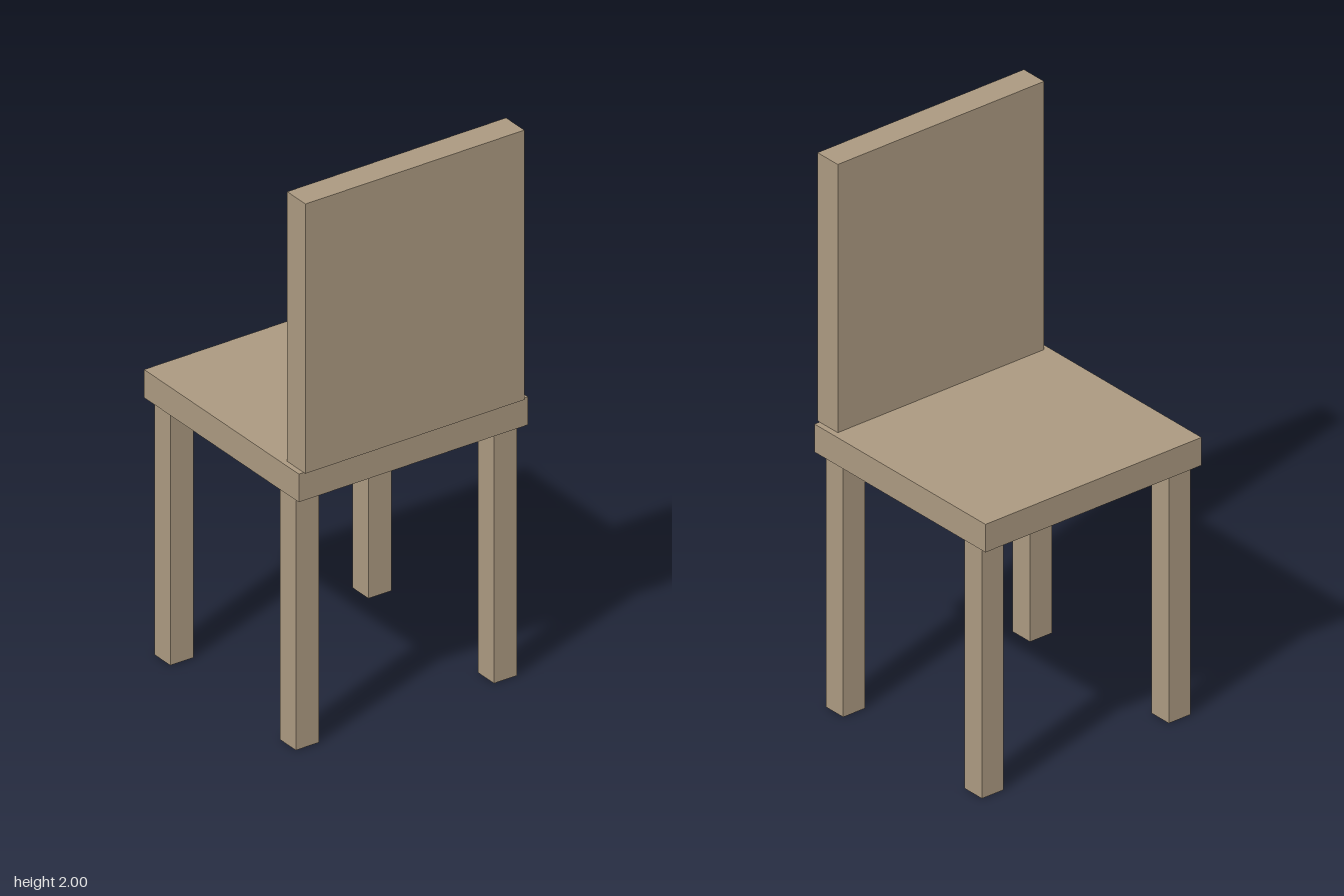
import * as THREE from 'three';

const wood = new THREE.MeshStandardMaterial({ color: 0xab9980 });

// Box given by its [min, max] extents on each axis
function board(name, [x0, x1], [y0, y1], [z0, z1]) {
  const mesh = new THREE.Mesh(new THREE.BoxGeometry(x1 - x0, y1 - y0, z1 - z0), wood);
  mesh.position.set((x0 + x1) / 2, (y0 + y1) / 2, (z0 + z1) / 2);
  mesh.name = name;
  return mesh;
}

export function createModel() {
  const chair = new THREE.Group();
  chair.name = 'chair';

  // Seat slab and upright backrest
  chair.add(board('seat', [-0.447, 0.447], [0.92, 1.022], [-0.432, 0.422]));
  chair.add(board('backrest', [-0.428, 0.426], [1.022, 2], [0.331, 0.432]));

  // Four square legs
  const legX = { right: [-0.433, -0.343], left: [0.34, 0.43] };
  const legZ = { backrestSide: [0.299, 0.386], openSide: [-0.394, -0.307] };
  for (const [side, x] of Object.entries(legX)) {
    for (const [end, z] of Object.entries(legZ)) {
      chair.add(board(`${end} ${side} leg`, x, [0, 0.92], z));
    }
  }
  return chair;
}
